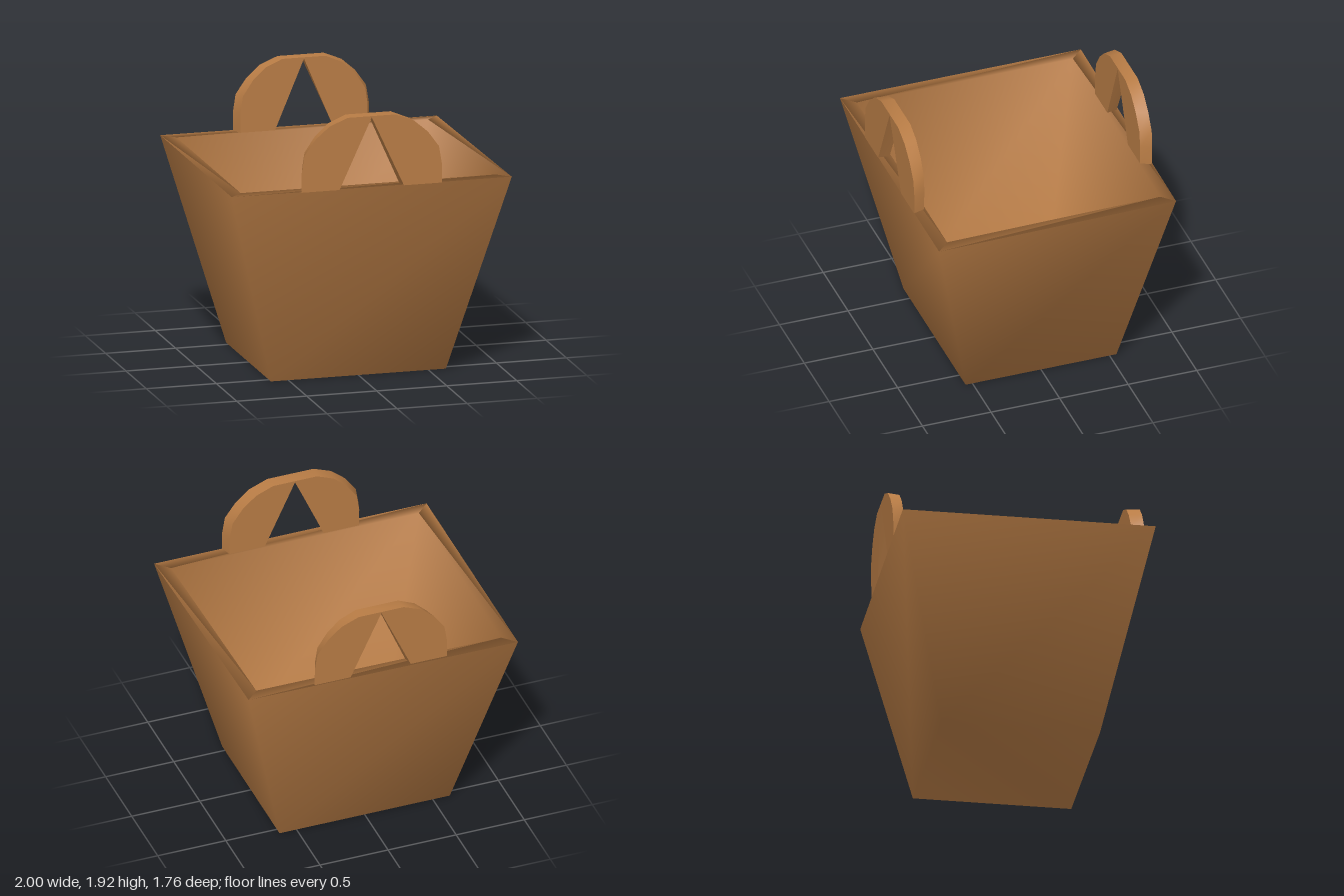
import * as THREE from 'three';
import { toCreasedNormals } from 'three/addons/utils/BufferGeometryUtils.js';

const leather = new THREE.MeshStandardMaterial({ color: 0xb87c45 });

// Four corners at one height, anticlockwise from above, starting front left.
const ring = (y, x, z) => [[x, y, z], [x, y, -z], [-x, y, -z], [-x, y, z]];

// Smooth shell running up the outside, over the rim and down to the inner floor.
function shell(name, rings) {
  const index = [0, 2, 1, 0, 3, 2];
  for (let r = 0; r < rings.length - 1; r++) {
    for (let i = 0; i < 4; i++) {
      const a = r * 4 + i;
      const b = r * 4 + (i + 1) % 4;
      index.push(a, b, b + 4, a, b + 4, a + 4);
    }
  }
  const f = (rings.length - 1) * 4;
  index.push(f, f + 1, f + 2, f, f + 2, f + 3);
  const geometry = new THREE.BufferGeometry();
  geometry.setAttribute('position', new THREE.Float32BufferAttribute(rings.flat(2), 3));
  geometry.setIndex(index);
  geometry.computeVertexNormals();
  const mesh = new THREE.Mesh(geometry, leather);
  mesh.name = name;
  return mesh;
}

// Rounded arch with a triangular opening. Each face has a width factor
// and the z at its foot and at its crown.
function handle(name, rear, front) {
  const side = [[0.5, 1.41], [0.5, 1.55], [0.48, 1.67], [0.4, 1.78], [0.3, 1.865], [0.17, 1.917]];
  const outline = [...side, ...side.map(([x, y]) => [-x, y]).reverse(),
    [-0.23, 1.41], [0, 1.908], [0.23, 1.41]];
  const shape = new THREE.Shape(outline.map(([x, y]) => new THREE.Vector2(x, y)));
  const geometry = new THREE.ExtrudeGeometry(shape, { depth: 1, bevelEnabled: false });
  const p = geometry.attributes.position;
  for (let i = 0; i < p.count; i++) {
    const face = p.getZ(i) > 0.5 ? front : rear;
    const rise = (p.getY(i) - 1.41) / 0.507;
    p.setX(i, p.getX(i) * face.width);
    p.setZ(i, THREE.MathUtils.lerp(face.foot, face.crown, rise));
  }
  const mesh = new THREE.Mesh(toCreasedNormals(geometry, 0.7), leather);
  mesh.name = name;
  return mesh;
}

export function createModel() {
  const group = new THREE.Group();
  group.name = 'toteBag';

  // Walls and floor share an even thickness of about 0.09
  const base = ring(0, 0.625, 0.55);
  const top = ring(1.415, 1, 0.878);
  const lip = ring(1.415, 0.91, 0.788);
  const floor = ring(0.09, 0.556, 0.483);

  // Slightly skewed back rim
  top[1] = [0.97, 1.415, -0.86];
  lip[1] = [0.882, 1.415, -0.775];

  group.add(
    shell('body', [base, top, lip, floor]),
    handle('frontHandle',
      { width: 0.95, foot: 0.8, crown: 0.785 },
      { width: 1, foot: 0.878, crown: 0.878 }),
    handle('backHandle',
      { width: 0.97, foot: -0.858, crown: -0.872 },
      { width: 0.91, foot: -0.785, crown: -0.785 }),
  );
  return group;
}
